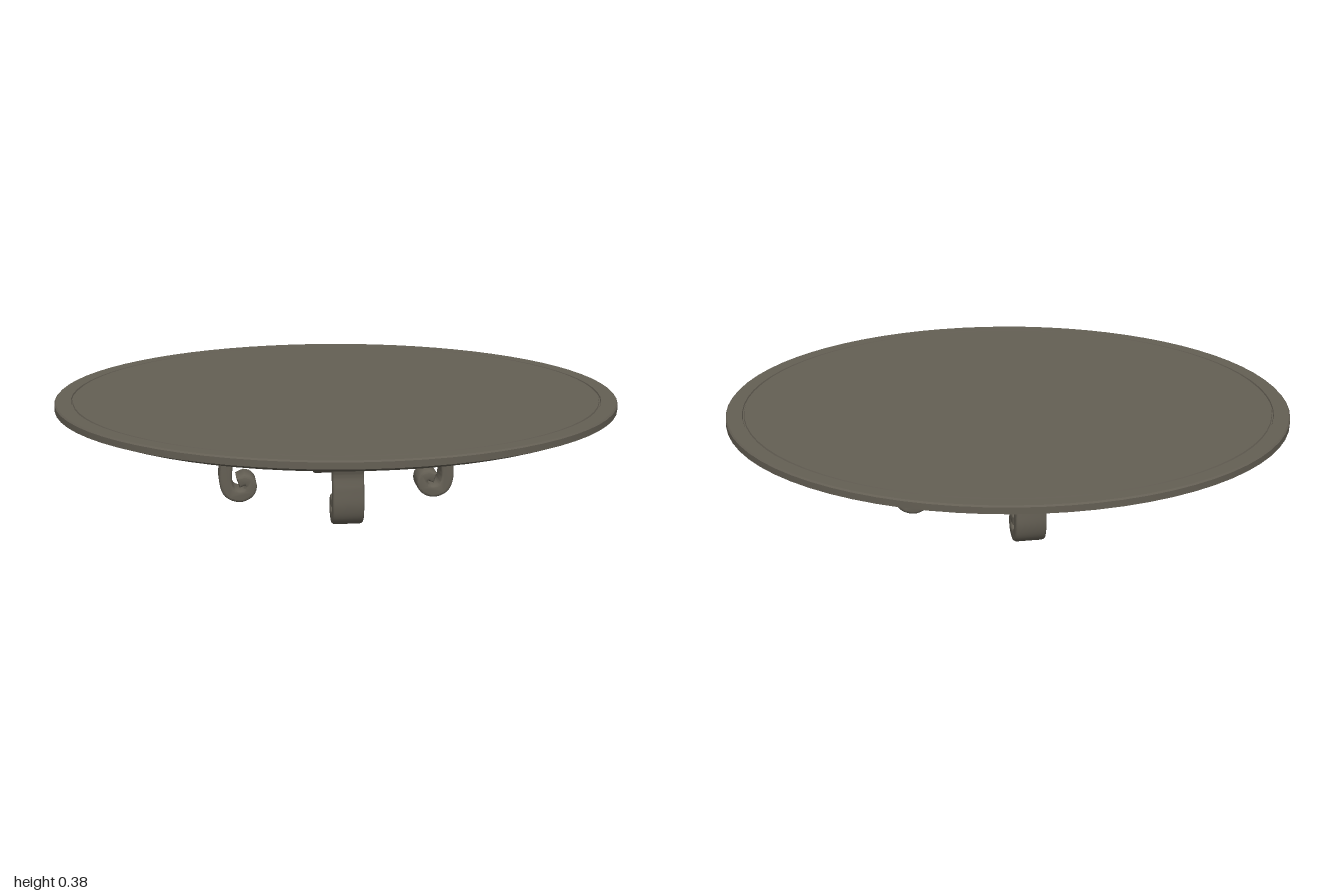
import * as THREE from 'three';
import { toCreasedNormals } from 'three/addons/utils/BufferGeometryUtils.js';

const stone = new THREE.MeshStandardMaterial({ color: 0x645f54 });
stone.name = 'dark stone';

function add(parent, name, geometry, x = 0, y = 0, z = 0) {
  const mesh = new THREE.Mesh(geometry, stone);
  mesh.name = name;
  mesh.position.set(x, y, z);
  parent.add(mesh);
  return mesh;
}

// Turned part; the profile runs from the bottom centre outwards and up
function turned(points, segments) {
  const profile = points.map(([r, y]) => new THREE.Vector2(r, y));
  return toCreasedNormals(new THREE.LatheGeometry(profile, segments), 0.3);
}

// Scroll leg: a tapering ribbon along a curve, extruded with rounded edges
function legGeometry() {
  const path = new THREE.CatmullRomCurve3([
    [0.54, 0.312], [0.47, 0.28], [0.415, 0.24], [0.393, 0.19], [0.4, 0.13],
    [0.402, 0.075], [0.388, 0.038], [0.35, 0.023], [0.318, 0.038],
    [0.311, 0.066], [0.329, 0.083], [0.35, 0.076],
  ].map(([x, y]) => new THREE.Vector3(x, y, 0)));
  const left = [], right = [], steps = 56;
  for (let i = 0; i <= steps; i++) {
    const t = i / steps;
    const p = path.getPointAt(t), d = path.getTangentAt(t);
    const half = 0.005 + 0.009 * Math.min(1, t * 6) - 0.004 * Math.max(0, t - 0.7) / 0.3;
    left.push(new THREE.Vector2(p.x - d.y * half, p.y + d.x * half));
    right.unshift(new THREE.Vector2(p.x + d.y * half, p.y - d.x * half));
  }
  const geometry = new THREE.ExtrudeGeometry(new THREE.Shape([...left, ...right]), {
    depth: 0.086, bevelEnabled: true, bevelSize: 0.009, bevelThickness: 0.011, bevelSegments: 3,
  });
  geometry.translate(0, 0, -0.043);
  return toCreasedNormals(geometry, 0.7);
}

// Tapered flange lying flat under the top, pointing along +x
function flangeGeometry() {
  const shape = new THREE.Shape([
    [0.36, -0.08], [0.43, -0.08], [0.54, -0.06], [0.54, 0.06], [0.43, 0.08], [0.36, 0.08],
  ].map(([x, y]) => new THREE.Vector2(x, y)));
  const geometry = new THREE.ExtrudeGeometry(shape, { depth: 0.024, bevelEnabled: false });
  return geometry.rotateX(-Math.PI / 2);
}

export function createModel() {
  const model = new THREE.Group();
  model.name = 'lowTable';

  // Round top with bevelled underside and a fine seam on its face
  add(model, 'tableTop', turned([
    [0, 0.31], [0.55, 0.312], [0.92, 0.332], [0.93, 0.34], [0.945, 0.338], [1, 0.358],
    [1, 0.38], [0.995, 0.385], [0.943, 0.385], [0.941, 0.38], [0.937, 0.38],
    [0.935, 0.385], [0, 0.385],
  ], 72));

  // Bowl below the top
  add(model, 'bowl', turned([
    [0, 0.138], [0.1, 0.142], [0.18, 0.152], [0.245, 0.168], [0.252, 0.176],
    [0.3, 0.19], [0.335, 0.203], [0.338, 0.212], [0.328, 0.22], [0.365, 0.272],
    [0.39, 0.282], [0.405, 0.298], [0.405, 0.315],
  ], 56));

  const leg = legGeometry(), flange = flangeGeometry();
  const rivet = new THREE.SphereGeometry(0.015, 16, 10);
  const tilt = -0.68, nx = Math.cos(tilt), ny = Math.sin(tilt);

  for (let i = 0; i < 4; i++) {
    // Legs on the axes, each with a raised panel on the bowl behind it
    const side = new THREE.Group();
    side.name = 'legAssembly';
    side.rotation.y = i * Math.PI / 2;
    add(side, 'leg', leg);
    add(side, 'bowlPanel', new THREE.BoxGeometry(0.02, 0.09, 0.15), 0.354, 0.247, 0)
      .rotation.z = tilt;
    model.add(side);

    // Riveted brackets on the diagonals
    const bracket = new THREE.Group();
    bracket.name = 'bracket';
    bracket.rotation.y = (i + 0.5) * Math.PI / 2;
    add(bracket, 'flange', flange, 0, 0.291, 0);
    add(bracket, 'bracketPlate', new THREE.BoxGeometry(0.034, 0.118, 0.126), 0.369, 0.25, 0)
      .rotation.z = tilt;
    for (const s of [-1, 1]) {
      add(bracket, 'rivet', rivet, 0.369 + nx * 0.018, 0.246 + ny * 0.018, s * 0.027)
        .scale.set(1, 1.1, 0.9);
    }
    model.add(bracket);
  }

  // Rosette under the bowl: eight petals and a pointed boss
  const rosette = new THREE.Group();
  rosette.name = 'rosette';
  const petal = new THREE.SphereGeometry(1, 14, 8);
  for (let i = 0; i < 8; i++) {
    const a = i * Math.PI / 4;
    const mesh = add(rosette, 'petal', petal, Math.cos(a) * 0.065, 0.135, -Math.sin(a) * 0.065);
    mesh.scale.set(0.04, 0.013, 0.023);
    mesh.rotation.y = a;
  }
  add(rosette, 'boss', turned([
    [0, 0.108], [0.015, 0.111], [0.03, 0.12], [0.038, 0.132], [0.038, 0.145],
  ], 20));
  model.add(rosette);

  return model;
}
